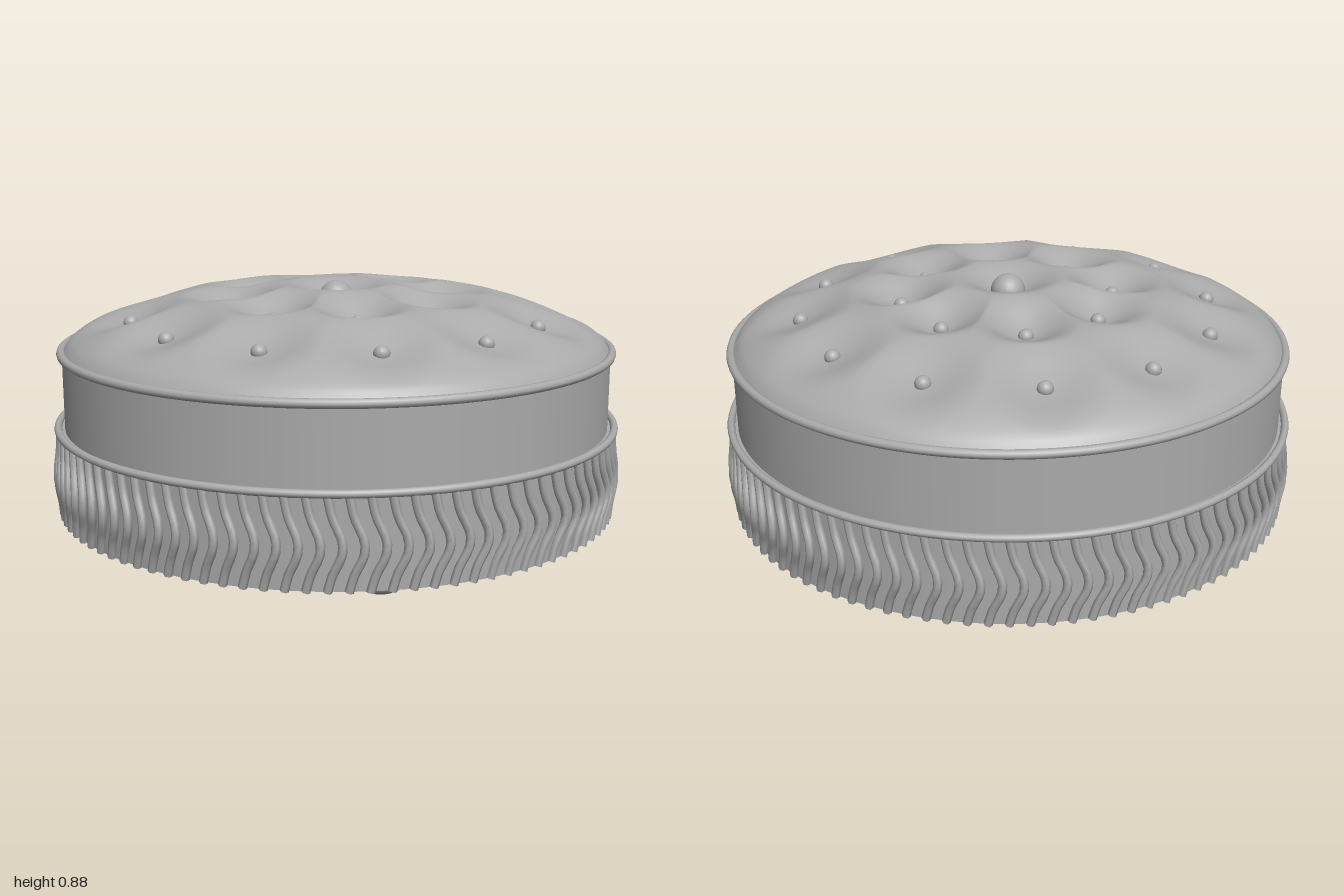
import * as THREE from 'three';
import { mergeVertices, mergeGeometries } from 'three/addons/utils/BufferGeometryUtils.js';

const fabric = new THREE.MeshStandardMaterial({ color: 0xaaaaaa });
fabric.name = 'grey fabric';

// Tuft points: position, depth and width of each dimple, size of its button
const tufts = [{ x: 0, z: 0, depth: 0.065, width: 0.2, button: 0.06 }];
function tuftRing(count, radius, offset, depth, width) {
  for (let i = 0; i < count; i++) {
    const a = offset + (i / count) * Math.PI * 2;
    tufts.push({ x: radius * Math.cos(a), z: radius * Math.sin(a), depth, width, button: 0.026 });
  }
}
tuftRing(8, 0.37, 0, 0.075, 0.2);
tuftRing(12, 0.715, Math.PI / 12, 0.045, 0.22);

// Height of the cushion: a flattened dome, less the deepest dimple
function cushionHeight(x, z) {
  const r = Math.min(Math.hypot(x, z) / 0.945, 1);
  let dip = 0;
  for (const t of tufts) {
    const d = Math.hypot(x - t.x, z - t.z) / t.width;
    if (d < 1) dip = Math.max(dip, t.depth * 0.5 * (1 + Math.cos(Math.PI * d)));
  }
  return 0.66 + 0.21 * Math.pow(1 - Math.pow(r, 2.4), 0.7) - dip;
}

function makeMesh(name, geometry, parent) {
  const mesh = new THREE.Mesh(geometry, fabric);
  mesh.name = name;
  parent.add(mesh);
  return mesh;
}

function lathe(points, segments = 96) {
  return new THREE.LatheGeometry(points.map(([r, y]) => new THREE.Vector2(r, y)), segments);
}

function cushionGeometry() {
  let g = new THREE.RingGeometry(0.001, 0.945, 192, 72);
  g.rotateX(-Math.PI / 2);
  g.deleteAttribute('uv');
  g.deleteAttribute('normal');
  g = mergeVertices(g, 1e-5);
  const p = g.attributes.position;
  for (let i = 0; i < p.count; i++) p.setY(i, cushionHeight(p.getX(i), p.getZ(i)));
  g.computeVertexNormals();
  return g;
}

// One chevron pleat, swept round the skirt at angle a
function pleatGeometry(a) {
  const at = (r, y, turn) => new THREE.Vector3(r * Math.sin(a + turn), y, r * Math.cos(a + turn));
  const path = new THREE.CatmullRomCurve3([
    at(0.97, 0.09, -0.022), at(0.974, 0.14, -0.008), at(0.985, 0.21, 0.022),
    at(0.984, 0.25, 0.022), at(0.974, 0.32, -0.008), at(0.97, 0.385, -0.022),
  ]);
  const tube = new THREE.TubeGeometry(path, 12, 0.014, 6);
  // End caps
  const caps = [0, 1].map((t) => {
    const cap = new THREE.CircleGeometry(0.014, 6);
    cap.lookAt(path.getTangentAt(t).multiplyScalar(t ? 1 : -1));
    const c = path.getPointAt(t);
    return cap.translate(c.x, c.y, c.z);
  });
  return mergeGeometries([tube, ...caps]);
}

function ring(name, radius, thickness, y, parent) {
  const mesh = makeMesh(name, new THREE.TorusGeometry(radius, thickness, 10, 128), parent);
  mesh.rotation.x = Math.PI / 2;
  mesh.position.y = y;
}

export function createModel() {
  const model = new THREE.Group();
  model.name = 'tuftedPouf';

  // Tufted seat
  makeMesh('cushion', cushionGeometry(), model);
  const buttons = new THREE.Group();
  buttons.name = 'buttons';
  model.add(buttons);
  for (const t of tufts) {
    const b = makeMesh('button', new THREE.SphereGeometry(t.button, 20, 14), buttons);
    const lift = t.button > 0.05 ? 0.01 : 0.004;
    b.position.set(t.x, cushionHeight(t.x, t.z) + lift, t.z);
  }

  // Side band with piping above and below
  const band = makeMesh('sideBand', new THREE.CylinderGeometry(0.953, 0.953, 0.27, 128), model);
  band.position.y = 0.52;
  ring('topPiping', 0.956, 0.015, 0.65, model);
  ring('skirtPiping', 0.976, 0.013, 0.39, model);

  // Pleated skirt
  const core = makeMesh('skirtCore', new THREE.CylinderGeometry(0.966, 0.966, 0.3, 128), model);
  core.position.y = 0.24;
  const pleats = [];
  const count = 96;
  for (let i = 0; i < count; i++) pleats.push(pleatGeometry((i / count) * Math.PI * 2));
  makeMesh('pleats', mergeGeometries(pleats), model);

  // Underside and feet
  const base = makeMesh('basePlate', new THREE.CylinderGeometry(0.925, 0.925, 0.03, 96), model);
  base.position.y = 0.095;
  const footShape = lathe([
    [0, 0], [0.055, 0], [0.055, 0], [0.078, 0.014], [0.087, 0.028],
    [0.087, 0.046], [0.078, 0.062], [0.06, 0.07], [0.06, 0.085],
  ], 32);
  for (const x of [-0.505, 0.505]) {
    for (const z of [-0.505, 0.505]) makeMesh('foot', footShape, model).position.set(x, 0, z);
  }
  return model;
}
